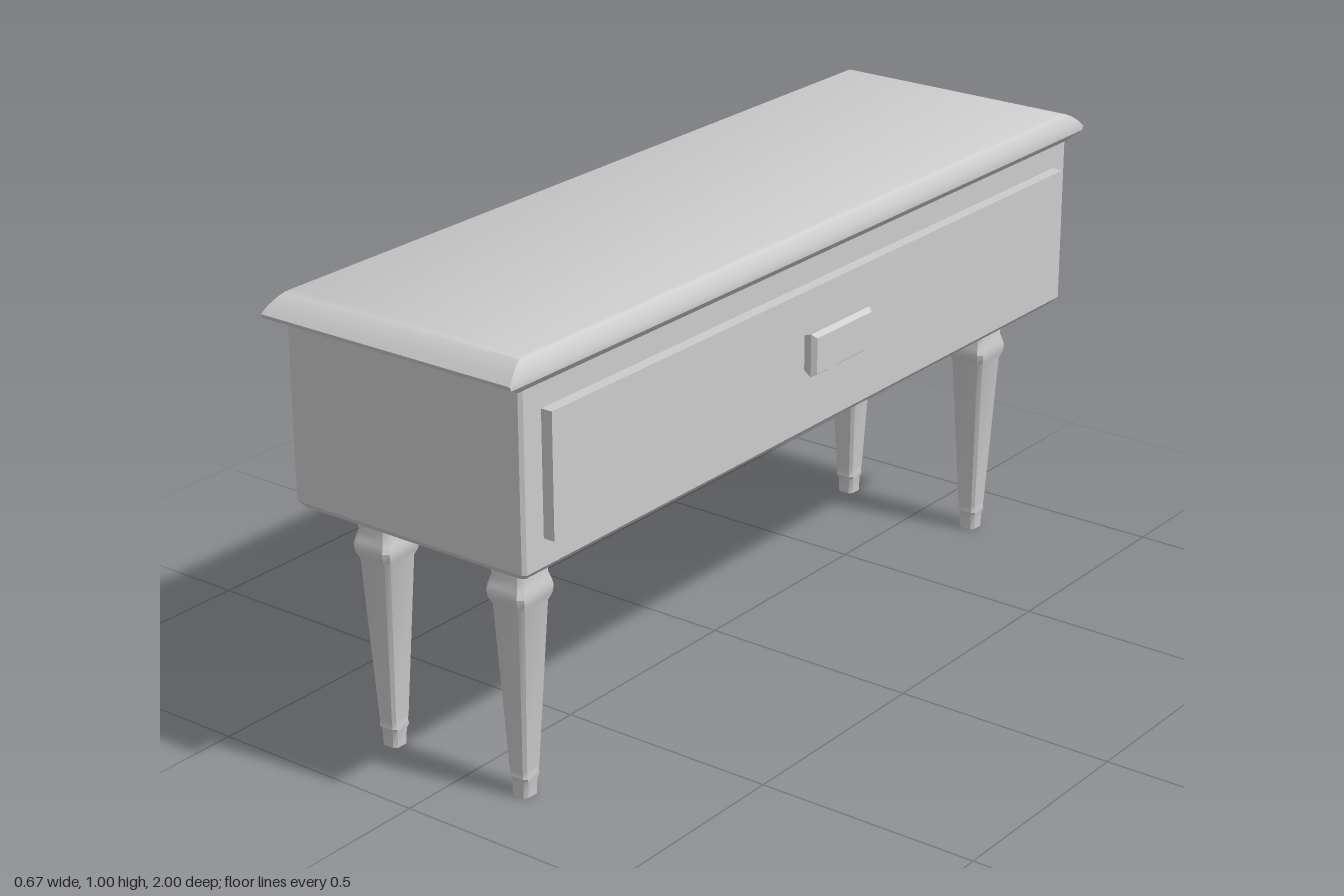
import * as THREE from 'three';
import { toCreasedNormals } from 'three/addons/utils/BufferGeometryUtils.js';

const material = new THREE.MeshStandardMaterial({ color: 0xcccccc });

// Outline of a rectangle (half sizes hx, hz) with corners cut by c, going +x to -z when seen from above
function outline(hx, hz, c) {
  const points = [];
  for (const [sx, sz] of [[1, 1], [1, -1], [-1, -1], [-1, 1]]) {
    if (c === 0) { points.push([sx * hx, sz * hz]); continue; }
    const alongX = [sx * (hx - c), sz * hz];
    const alongZ = [sx * hx, sz * (hz - c)];
    points.push(...(sx * sz > 0 ? [alongX, alongZ] : [alongZ, alongX]));
  }
  return points;
}

// Closed solid through stacked sections [y, hx, hz, cornerCut], bottom to top
function loft(name, sections, crease = 0.3) {
  const rings = sections.map(([y, hx, hz, c = 0]) => outline(hx, hz, c).map(([x, z]) => [x, y, z]));
  const n = rings[0].length;
  const vertices = [];
  for (let i = 0; i < rings.length - 1; i++) {
    for (let j = 0; j < n; j++) {
      const k = (j + 1) % n;
      const a = rings[i][j], b = rings[i][k], c = rings[i + 1][k], d = rings[i + 1][j];
      vertices.push(...a, ...b, ...c, ...a, ...c, ...d);
    }
  }
  const bottom = rings[0], top = rings[rings.length - 1];
  for (let j = 1; j < n - 1; j++) {
    vertices.push(...bottom[0], ...bottom[j + 1], ...bottom[j]);
    vertices.push(...top[0], ...top[j], ...top[j + 1]);
  }
  const geometry = new THREE.BufferGeometry();
  geometry.setAttribute('position', new THREE.Float32BufferAttribute(vertices, 3));
  const mesh = new THREE.Mesh(toCreasedNormals(geometry, crease), material);
  mesh.name = name;
  return mesh;
}

export function createModel() {
  const group = new THREE.Group();
  group.name = 'lowCabinet';
  const add = (mesh, x, y, z) => {
    mesh.position.set(x, y, z);
    group.add(mesh);
  };

  // Cabinet box with cut corners and a bevelled underside
  add(loft('cabinetBody', [
    [0.55, 0.283, 0.94, 0.007],
    [0.565, 0.297, 0.953, 0.007],
    [0.945, 0.297, 0.953, 0.007],
  ]), -0.0225, 0, 0);

  // Overhanging top with a rounded upper edge
  add(loft('tableTop', [
    [0.938, 0.297, 0.957],
    [0.957, 0.3135, 0.995],
    [0.967, 0.3135, 1.0],
    [0.982, 0.308, 0.984],
    [0.995, 0.301, 0.965],
    [1.002, 0.296, 0.95],
    [1.005, 0.291, 0.935],
  ], 0.6), -0.0235, 0, 0);

  // Drawer front, turned to face +x
  const drawer = loft('drawerFront', [
    [0, 0.132, 0.897],
    [0.026, 0.132, 0.897],
  ]);
  drawer.rotation.z = -Math.PI / 2;
  add(drawer, 0.276, 0.757, 0);

  // Flared handle block with a bevelled face
  const handle = loft('drawerHandle', [
    [0, 0.038, 0.096],
    [0.022, 0.047, 0.104],
    [0.033, 0.039, 0.097],
  ]);
  handle.rotation.z = -Math.PI / 2;
  add(handle, 0.302, 0.757, 0);

  // Four tapered legs with a collar near the top and a small foot
  const legSections = [
    [0, 0.020, 0.020, 0.007],
    [0.035, 0.021, 0.021, 0.007],
    [0.045, 0.024, 0.025, 0.007],
    [0.055, 0.022, 0.023, 0.006],
    [0.065, 0.023, 0.025, 0.006],
    [0.425, 0.041, 0.044, 0.009],
    [0.44, 0.047, 0.052, 0.010],
    [0.455, 0.048, 0.055, 0.010],
    [0.468, 0.046, 0.051, 0.010],
    [0.485, 0.041, 0.045, 0.009],
    [0.56, 0.045, 0.050, 0.009],
  ];
  for (const [side, x] of [['Left', 0.141], ['Right', -0.208]]) {
    for (const [end, z] of [['front', 0.813], ['back', -0.813]]) {
      add(loft(end + side + 'Leg', legSections, 0.5), x, 0, z);
    }
  }

  return group;
}
